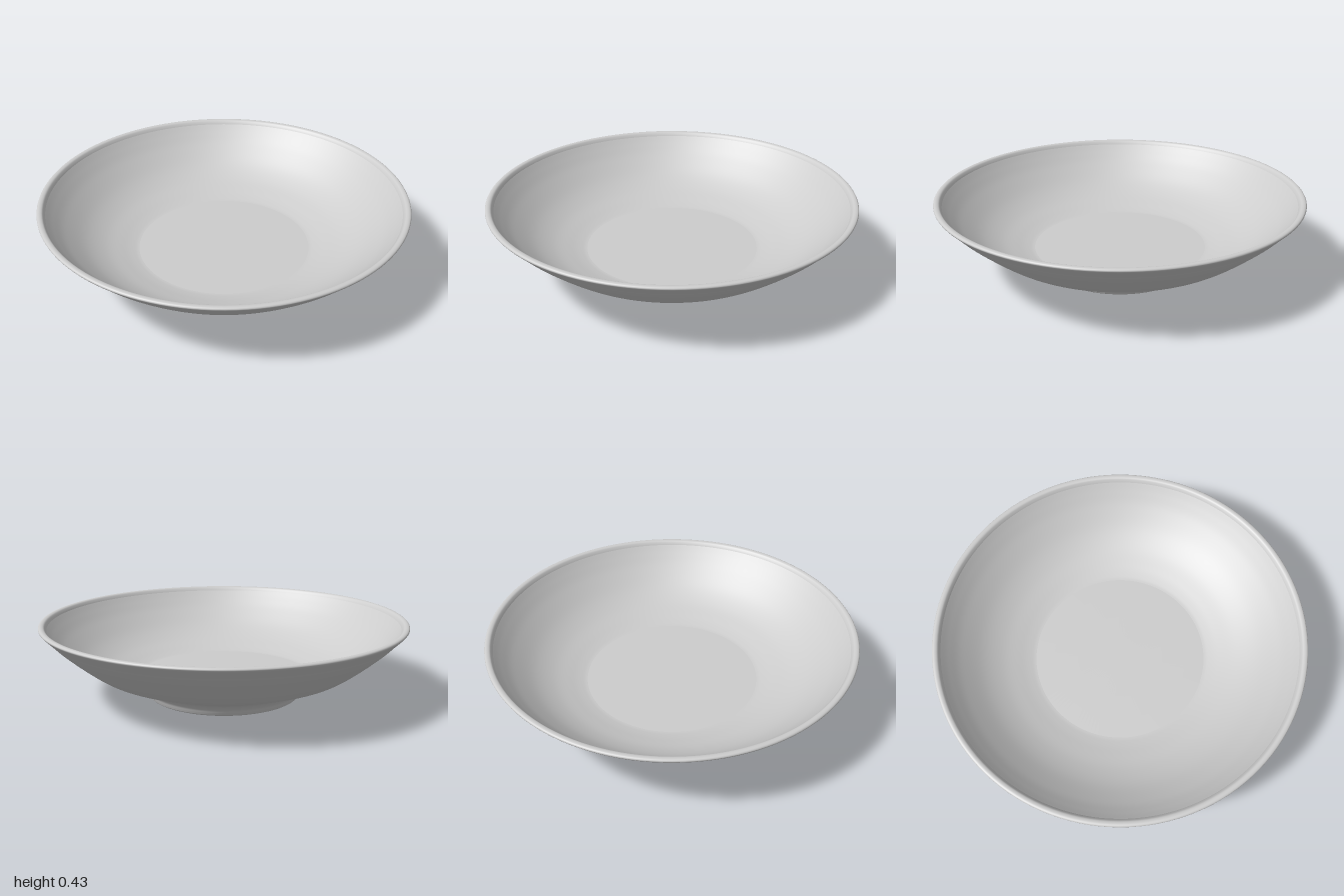
import * as THREE from 'three';

const SEGMENTS = 128;

// Smooth curve through a few [radius, height] points
const smooth = (pts, n) =>
  new THREE.SplineCurve(pts.map(([r, y]) => new THREE.Vector2(r, y))).getPoints(n);

export function createModel() {
  const ceramic = new THREE.MeshStandardMaterial({ color: 0xcccccc });
  ceramic.name = 'pale grey ceramic';
  const bowl = new THREE.Group();
  bowl.name = 'bowl';

  const addTurned = (name, points) => {
    const mesh = new THREE.Mesh(new THREE.LatheGeometry(points, SEGMENTS), ceramic);
    mesh.name = name;
    bowl.add(mesh);
  };

  // Shallow recess under the foot
  addTurned('footRecess', smooth([[0, 0.035], [0.17, 0.035], [0.325, 0.035]], 4));

  // Foot ring with rounded edges, flaring into the outer wall
  addTurned('footRing', smooth([
    [0.325, 0.035], [0.33, 0.018], [0.34, 0.006], [0.355, 0], [0.38, 0], [0.405, 0],
    [0.418, 0.005], [0.425, 0.018], [0.437, 0.042], [0.47, 0.073], [0.54, 0.102],
  ], 50));
  addTurned('outerWall', smooth([
    [0.54, 0.102], [0.62, 0.128], [0.7, 0.16], [0.79, 0.222], [0.9, 0.313],
    [0.96, 0.372], [0.994, 0.405],
  ], 40));

  // Rounded lip
  addTurned('rim', smooth([
    [0.994, 0.405], [1, 0.414], [0.996, 0.422], [0.985, 0.425], [0.972, 0.422],
    [0.963, 0.412], [0.957, 0.402],
  ], 24));

  // Curved inside and flat floor
  addTurned('innerWall', smooth([
    [0.957, 0.402], [0.92, 0.36], [0.86, 0.3], [0.76, 0.22], [0.66, 0.165],
    [0.56, 0.13], [0.5, 0.114], [0.475, 0.11],
  ], 40));
  addTurned('floor', smooth([[0.475, 0.11], [0.24, 0.11], [0, 0.11]], 4));

  return bowl;
}
